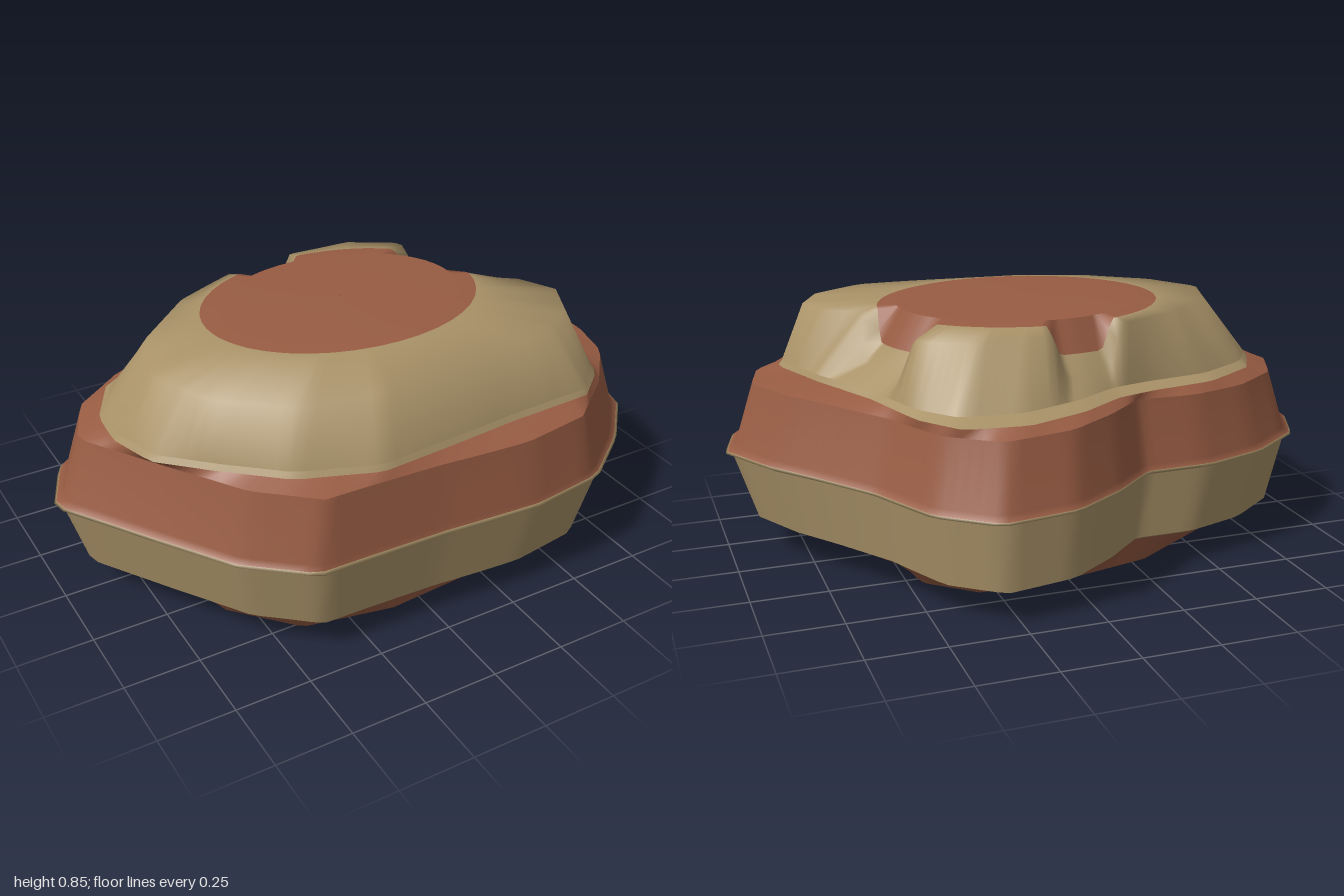
import * as THREE from 'three';

const N = 120;               // samples around each ring
const CX = 0.02, CZ = 0.02;  // axis of the rock

// Plan outlines as [x, z] corners
const girth = [[-1, -0.01], [-0.91, -0.22], [-0.71, -0.37], [-0.48, -0.455], [-0.25, -0.47], [-0.1, -0.6],
  [0.08, -0.71], [0.33, -0.74], [0.5, -0.6], [0.62, -0.36], [0.76, -0.18], [0.89, -0.02], [1, 0.18],
  [0.95, 0.38], [0.8, 0.55], [0.6, 0.7], [0.34, 0.735], [0, 0.715], [-0.45, 0.715], [-0.64, 0.56], [-0.8, 0.31], [-0.88, 0.18]];
const capFoot = [[-0.82, 0.1], [-0.81, -0.05], [-0.72, -0.22], [-0.52, -0.35], [-0.3, -0.4], [-0.15, -0.45],
  [0, -0.55], [0.2, -0.62], [0.4, -0.59], [0.5, -0.45], [0.58, -0.2], [0.7, 0.05], [0.79, 0.3],
  [0.72, 0.5], [0.6, 0.6], [0.3, 0.61], [0, 0.64], [-0.2, 0.66], [-0.45, 0.57], [-0.62, 0.42], [-0.77, 0.27]];
const capRim = [[-0.7, 0.15], [-0.62, -0.08], [-0.42, -0.26], [-0.2, -0.36], [0.08, -0.42], [0.3, -0.42],
  [0.45, -0.33], [0.52, -0.12], [0.55, 0.08], [0.64, 0.15], [0.7, 0.28], [0.63, 0.42], [0.45, 0.53],
  [0.1, 0.55], [-0.15, 0.57], [-0.4, 0.51], [-0.6, 0.35]];
const foot = [[-0.63, 0.1], [-0.52, -0.2], [-0.3, -0.34], [0, -0.41], [0.3, -0.42], [0.46, -0.28],
  [0.54, -0.1], [0.58, 0.2], [0.5, 0.45], [0.3, 0.55], [-0.1, 0.58], [-0.4, 0.52], [-0.58, 0.32]];
const disc = Array.from({ length: 40 }, (_, i) => {
  const a = i / 40 * Math.PI * 2;
  return [0.025 + 0.475 * Math.cos(a), 0.01 + 0.37 * Math.sin(a)];
});

// Scale an outline sideways, towards the front and towards the back
const scaled = (outline, sx, front = sx, back = front) =>
  outline.map(([x, z]) => [x * sx, z * (z > 0 ? front : back)]);

// Distance from the axis to an outline along an angle
function reach(outline, a) {
  const dx = Math.cos(a), dz = Math.sin(a);
  let best = 0;
  outline.forEach(([x1, z1], i) => {
    const [x2, z2] = outline[(i + 1) % outline.length];
    const ex = x2 - x1, ez = z2 - z1, px = x1 - CX, pz = z1 - CZ;
    const det = ex * dz - ez * dx;
    if (Math.abs(det) < 1e-9) return;
    const t = (ex * pz - ez * px) / det, u = (dx * pz - dz * px) / det;
    if (u >= -1e-6 && u <= 1 + 1e-6 && t > best) best = t;
  });
  return best;
}

// 1 inside an angular sector, fading to 0 outside
const sector = (a, mid, half, fade = 0.06) => {
  const d = Math.abs(Math.atan2(Math.sin(a - mid), Math.cos(a - mid)));
  return 1 - THREE.MathUtils.smoothstep(d, half - fade, half + fade);
};
const bite = a => Math.max(sector(a, -0.27, 0.28), sector(a, -1.78, 0.25)); // broken cap rim
const dip = a => sector(a, -0.31, 0.17, 0.17);                              // hollow in the foot

// A ring from radius and height rules
function ring(radius, height) {
  return Array.from({ length: N }, (_, i) => {
    const a = i / N * Math.PI * 2 - Math.PI, r = radius(a);
    return [CX + r * Math.cos(a), height(a), CZ + r * Math.sin(a)];
  });
}
const flatRing = (outline, y, wave = 0) =>
  ring(a => reach(outline, a), a => y + wave * Math.sin(3 * a + 1));

// Skin joining rings, listed from the bottom up along the surface
function skin(name, material, rings) {
  const index = [];
  for (let j = 0; j < rings.length - 1; j++) {
    for (let i = 0; i < N; i++) {
      const k = (i + 1) % N, a = j * N, b = a + N;
      index.push(a + i, b + i, a + k, a + k, b + i, b + k);
    }
  }
  const geometry = new THREE.BufferGeometry();
  geometry.setAttribute('position', new THREE.Float32BufferAttribute(rings.flat(2), 3));
  geometry.setIndex(index);
  geometry.computeVertexNormals();
  const mesh = new THREE.Mesh(geometry, material);
  mesh.name = name;
  return mesh;
}

export function createModel() {
  const tan = new THREE.MeshStandardMaterial({ name: 'tan stone', color: 0xa99268 });
  const rust = new THREE.MeshStandardMaterial({ name: 'rust stone', color: 0x985c43 });
  const lerp = THREE.MathUtils.lerp;
  const rDisc = a => reach(disc, a);
  const rFoot = a => reach(foot, a);

  // Underside and foot
  const baseCentre = ring(() => 0.001, () => 0);
  const baseInner = ring(a => rDisc(a) * 0.8, () => 0);
  const baseDisc = ring(rDisc, a => 0.06 * dip(a));
  const baseEdge = ring(a => Math.max(rFoot(a), rDisc(a) + 0.015), a => 0.065 * dip(a));
  const lowOutline = scaled(girth, 0.905, 0.93);
  const lowLip = flatRing(scaled(lowOutline, 0.96), 0.106, 0.006);
  const footMid = ring(a => lerp(rFoot(a), reach(lowOutline, a), 0.5), () => 0.072);
  const lowEdge = flatRing(lowOutline, 0.115, 0.008);

  // Waist bands
  const waistIn = flatRing(scaled(girth, 0.975, 0.99, 0.955), 0.338, 0.004);
  const waistOut = flatRing(girth, 0.348, 0.005);
  const waistTop = flatRing(scaled(girth, 0.992), 0.355, 0.005);
  const waistLip = flatRing(scaled(girth, 0.967, 0.985, 0.97), 0.372, 0.005);
  const shoulder = flatRing(scaled(girth, 0.9, 0.945, 0.895), 0.578, 0.008);
  const capBase = flatRing(capFoot, 0.603, 0.004);

  // Cap, with two bites broken out of its rim
  const capShelf = flatRing(scaled(capFoot, 0.985, 0.985, 0.89), 0.622, 0.004);
  const capEdge = ring(
    a => lerp(reach(capRim, a), lerp(rDisc(a), reach(capFoot, a), 0.35), bite(a)),
    a => lerp(0.815 + 0.008 * Math.sin(a * 2), 0.675, bite(a)));
  const topDisc = ring(rDisc, a => lerp(0.84 + 0.008 * Math.sin(a), 0.735, bite(a)));
  const crest = ring(a => rDisc(a) * 0.87, a => 0.845 + 0.007 * Math.sin(a));
  const crown = ring(a => rDisc(a) * 0.5, a => 0.85 + 0.004 * Math.sin(a));
  const summit = ring(() => 0.001, () => 0.851);

  const rock = new THREE.Group();
  rock.name = 'layeredRock';
  rock.add(
    skin('undersideDisc', tan, [baseCentre, baseInner, baseDisc]),
    skin('undersideRim', rust, [baseDisc, baseEdge]),
    skin('foot', rust, [baseEdge, footMid, lowLip]),
    skin('lowerLip', tan, [lowLip, lowEdge]),
    skin('lowerBand', tan, [lowEdge, waistIn]),
    skin('waistLedge', tan, [waistIn, waistOut, waistTop]),
    skin('middleBand', rust, [waistTop, waistLip, shoulder]),
    skin('shoulderLedge', rust, [shoulder, capBase]),
    skin('capLedge', tan, [capBase, capShelf]),
    skin('cap', tan, [capShelf, capEdge, topDisc]),
    skin('topDiscEdge', rust, [topDisc, crest]),
    skin('topDisc', rust, [crest, crown, summit]),
  );
  return rock;
}
